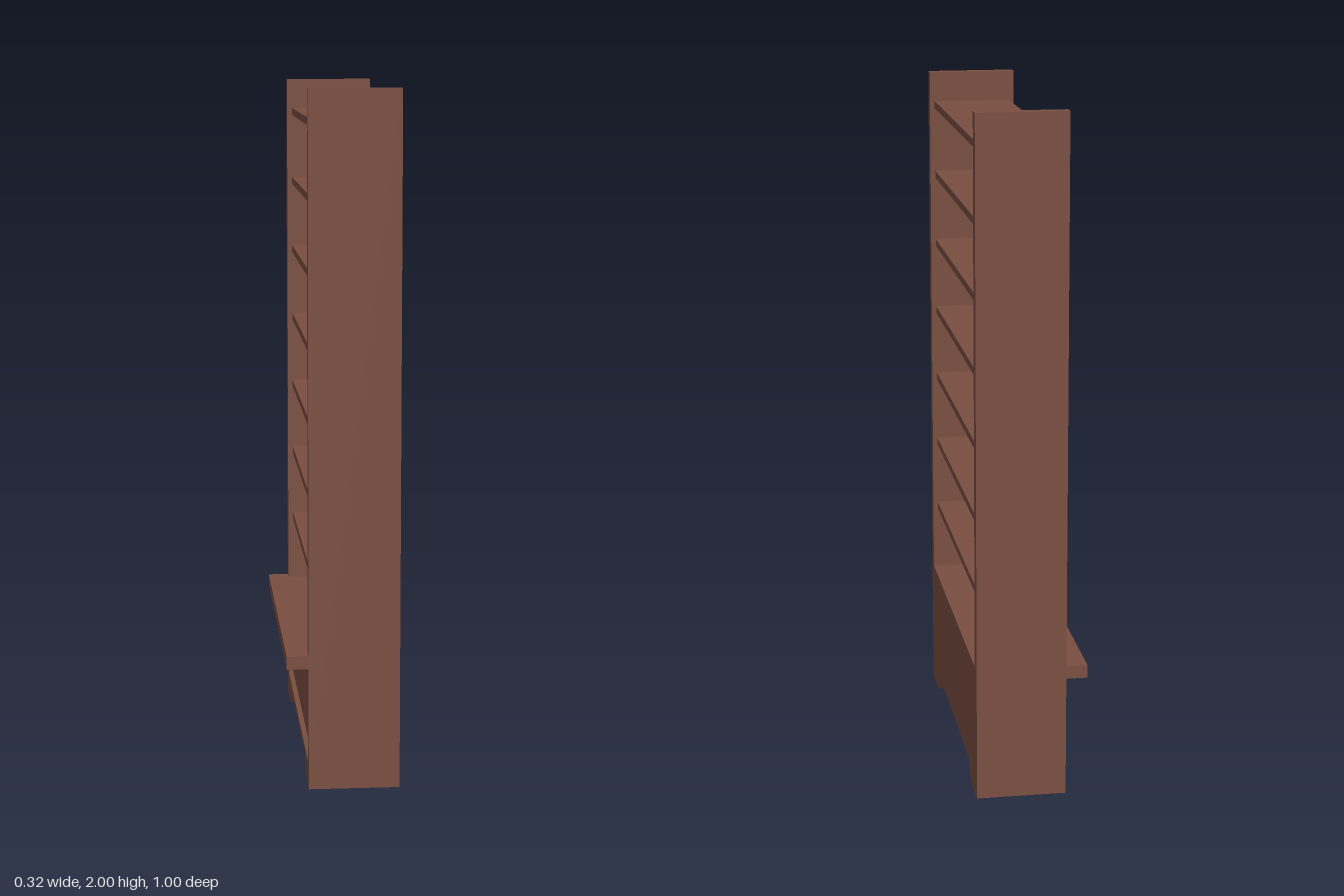
import * as THREE from 'three';

export function createModel() {
  const model = new THREE.Group();
  model.name = 'shelfUnit';
  const wood = new THREE.MeshStandardMaterial({ color: 0x7a4e40 });
  wood.name = 'brown wood';

  const FRONT = 0.1625, BACK = -0.1, INSET = -0.085; // depth limits along x
  const INNER = 0.4625, OUTER = 0.5; // half widths along z
  const COUNTER = 0.395, PITCH = 0.2165;

  function add(name, geometry) {
    const mesh = new THREE.Mesh(geometry, wood);
    mesh.name = name;
    model.add(mesh);
  }

  // Box given by its limits on each axis
  function board(name, x0, x1, y0, y1, z0, z1) {
    const g = new THREE.BoxGeometry(x1 - x0, y1 - y0, z1 - z0);
    g.translate((x0 + x1) / 2, (y0 + y1) / 2, (z0 + z1) / 2);
    add(name, g);
  }

  // Board with the foot cutout along its bottom edge, extruded along x
  function footedBoard(name, x0, x1, top) {
    const shape = new THREE.Shape([
      [-INNER, 0], [-0.37, 0], [-0.328, 0.057], [0.328, 0.057],
      [0.37, 0], [INNER, 0], [INNER, top], [-INNER, top],
    ].map(([a, b]) => new THREE.Vector2(a, b)));
    const g = new THREE.ExtrudeGeometry(shape, { depth: x1 - x0, bevelEnabled: false });
    g.rotateY(Math.PI / 2);
    g.translate(x0, 0, 0);
    add(name, g);
  }

  // Side uprights
  board('leftUpright', BACK, FRONT, 0, 2, INNER, OUTER);
  board('rightUpright', BACK, FRONT, 0, 2, -OUTER, -INNER);

  // Base cabinet with recessed panel and a bottom rail
  footedBoard('baseCabinet', INSET, FRONT, COUNTER);
  footedBoard('bottomRail', BACK, INSET, 0.075);

  // Projecting counter ledge, filling the gap between the uprights
  board('counterLedge', -0.1625, BACK, 0.357, COUNTER, -OUTER, OUTER);
  board('counterInfill', BACK, INSET, 0.357, COUNTER, -INNER, INNER);

  // Evenly spaced shelves
  for (let i = 1; i <= 7; i++) {
    const top = COUNTER + i * PITCH;
    board('shelf' + i, INSET, 0.148, top - 0.022, top, -INNER, INNER);
  }
  return model;
}
